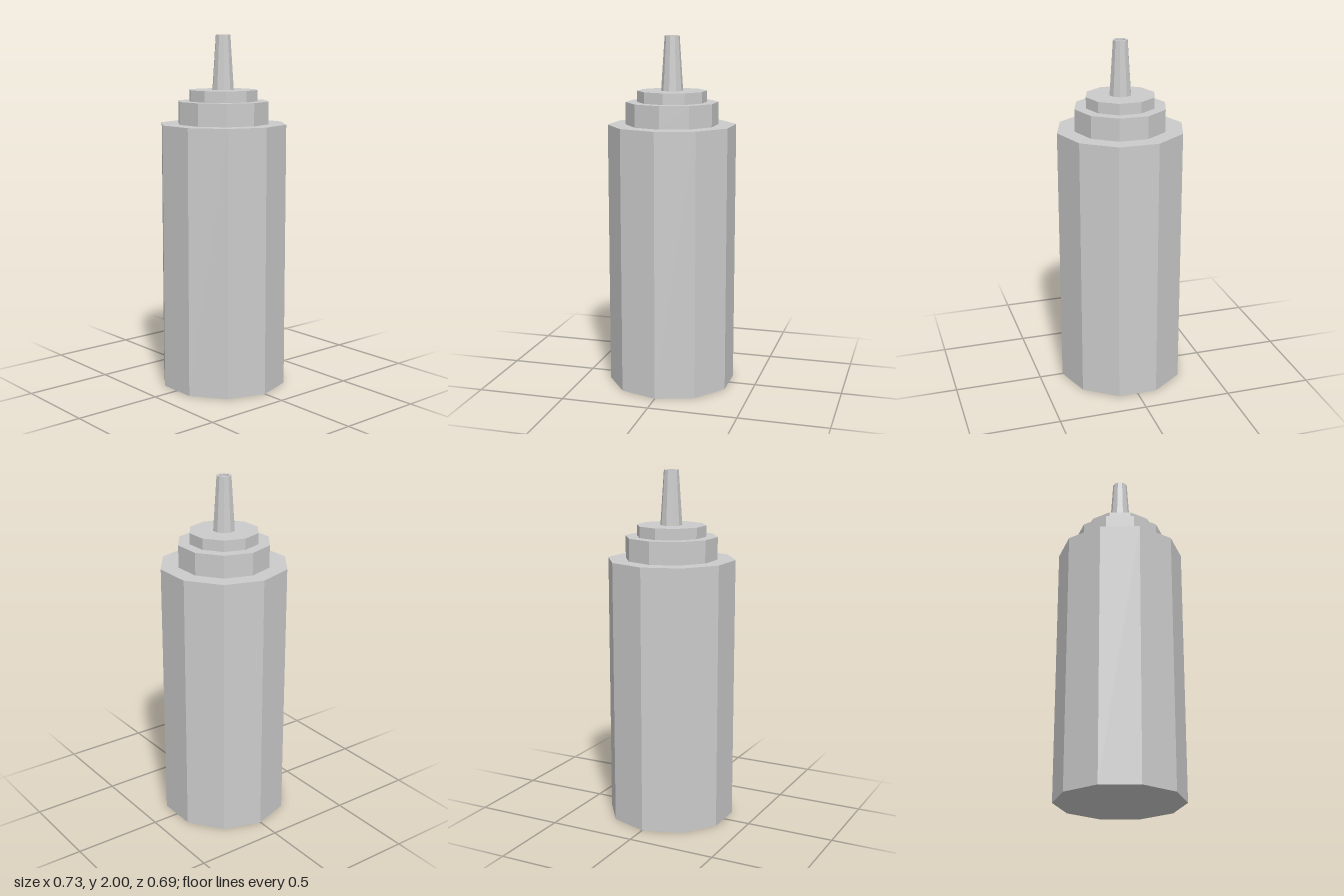
import * as THREE from 'three';

const SIDES = 10;
const material = new THREE.MeshStandardMaterial({ color: 0xcccccc, flatShading: true });

// Ten-sided straight tier with a corner on the x axis
function tier(name, radius, bottom, top) {
  const geometry = new THREE.CylinderGeometry(radius, radius, top - bottom, SIDES, 1, false, Math.PI / 2);
  const mesh = new THREE.Mesh(geometry, material);
  mesh.name = name;
  mesh.position.y = (bottom + top) / 2;
  return mesh;
}

export function createModel() {
  const group = new THREE.Group();
  group.name = 'squeezeBottle';

  // Bottle and the two steps of its cap
  group.add(
    tier('bottleBody', 0.363, 0, 1.505),
    tier('capCollar', 0.262, 1.505, 1.632),
    tier('capTop', 0.197, 1.632, 1.695)
  );

  // Tapered nozzle: outer wall, flat rim, then the recessed opening
  const profile = [
    [0.062, 1.695], [0.042, 2], [0.0275, 2], [0.0255, 1.92], [0, 1.92],
  ].map(([r, y]) => new THREE.Vector2(r, y));
  const nozzle = new THREE.Mesh(new THREE.LatheGeometry(profile, SIDES, Math.PI / 2), material);
  nozzle.name = 'nozzle';
  group.add(nozzle);

  return group;
}
